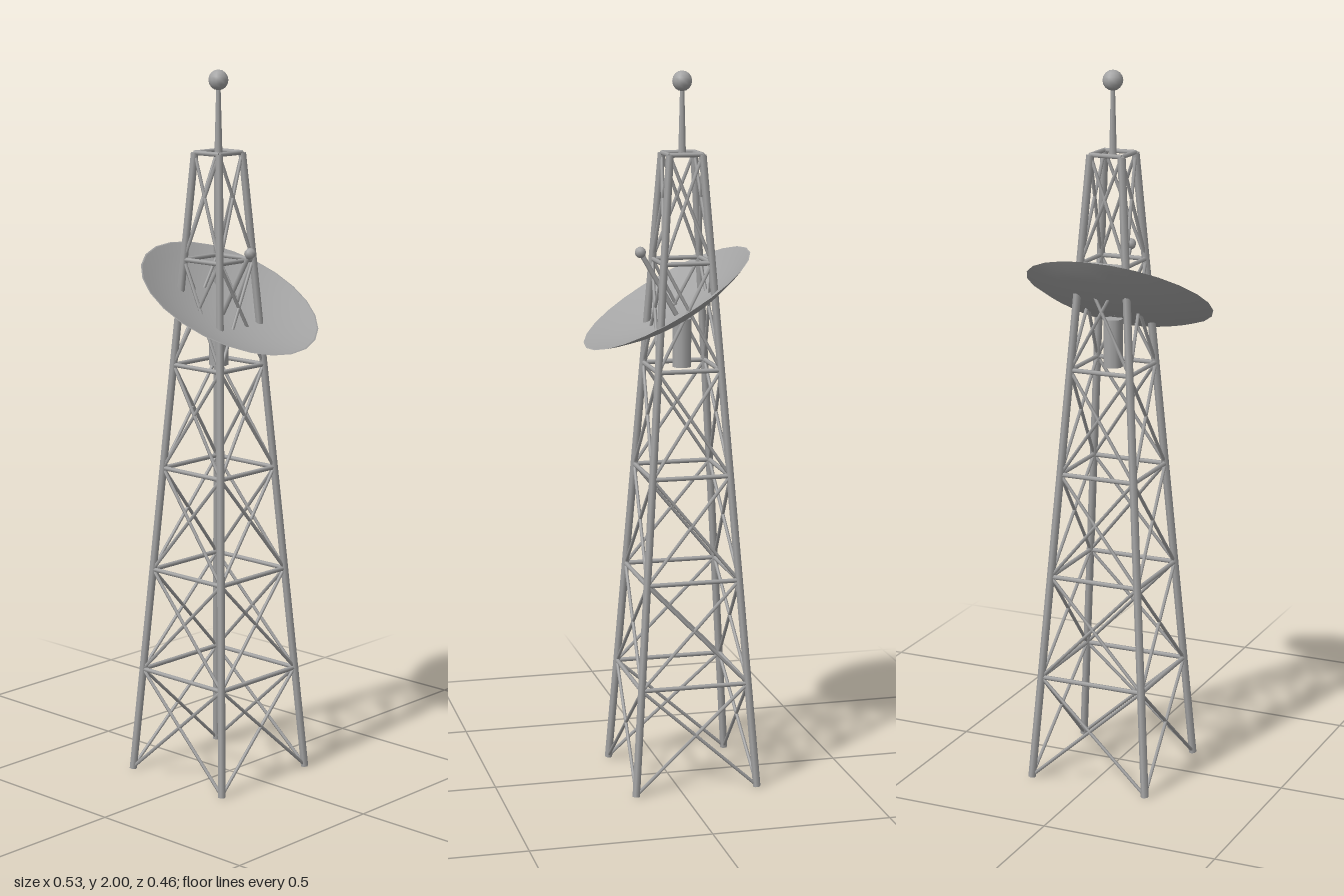
import * as THREE from 'three';

export function createModel() {
  const model = new THREE.Group();
  const steel = new THREE.MeshStandardMaterial({ color: 0xa4a4a4 });
  steel.name = 'steel grey';

  const CZ = -0.042; // depth of the tower axis
  const TOP = 1.775;
  const BASE = 0.003;

  const add = (name, geometry, parent = model) => {
    const mesh = new THREE.Mesh(geometry, steel);
    mesh.name = name;
    parent.add(mesh);
    return mesh;
  };

  // round bar between two points
  const bar = (name, a, b, r, parent, sides = 6, rEnd = r) => {
    const dir = b.clone().sub(a);
    const mesh = add(name, new THREE.CylinderGeometry(rEnd, r, dir.length(), sides), parent);
    mesh.position.copy(a).add(b).multiplyScalar(0.5);
    mesh.quaternion.setFromUnitVectors(new THREE.Vector3(0, 1, 0), dir.normalize());
    return mesh;
  };

  // corner of the tapering tower at a given height
  const signs = [[1, 1], [1, -1], [-1, -1], [-1, 1]];
  const corner = (i, y) => {
    const half = THREE.MathUtils.lerp(0.175, 0.046, (y - BASE) / (TOP - BASE));
    const [sx, sz] = signs[i % 4];
    return new THREE.Vector3(sx * half, y, CZ + sz * half);
  };

  // lattice tower: legs, level rails and crossed braces
  const tower = new THREE.Group();
  tower.name = 'latticeTower';
  model.add(tower);
  const levels = 6;
  const levelY = (n) => THREE.MathUtils.lerp(BASE + 0.004, TOP, n / levels);
  for (let side = 0; side < 4; side++) {
    bar('leg', corner(side, BASE), corner(side, TOP), 0.011, tower);
    for (let n = 0; n < levels; n++) {
      const y0 = levelY(n), y1 = levelY(n + 1);
      bar('brace', corner(side, y0), corner(side + 1, y1), 0.005, tower, 5);
      bar('brace', corner(side + 1, y0), corner(side, y1), 0.005, tower, 5);
      bar('rail', corner(side, y1), corner(side + 1, y1), 0.0065, tower);
    }
  }

  // mast with ball on the tower top
  bar('mast', new THREE.Vector3(0, TOP - 0.005, CZ), new THREE.Vector3(0, 1.955, CZ),
    0.011, model, 8, 0.006);
  add('mastBall', new THREE.SphereGeometry(0.028, 12, 8)).position.set(0, 1.972, CZ);

  // post carrying the dish
  bar('dishPost', new THREE.Vector3(0, 1.185, CZ), new THREE.Vector3(0, 1.32, CZ), 0.027, model, 10);

  // dish, tilted forward; its local origin is the rim centre
  const dish = new THREE.Group();
  dish.name = 'dish';
  dish.position.set(0, 1.38, 0.002);
  dish.rotation.x = Math.PI / 6;
  model.add(dish);
  const R = 0.263, DEPTH = 0.065, WALL = 0.008, STEPS = 8;
  const bowl = (radius, depth) => Array.from({ length: STEPS + 1 }, (_, i) => {
    const t = i / STEPS;
    return new THREE.Vector2(radius * t, depth * (t * t - 1));
  });
  const outer = bowl(R, DEPTH);
  const inner = bowl(R - 0.004, DEPTH - WALL).reverse();
  add('dishBack', new THREE.LatheGeometry(outer, 24), dish);
  add('dishRim', new THREE.LatheGeometry([outer[STEPS], inner[0]], 24), dish);
  add('dishFace', new THREE.LatheGeometry(inner, 24), dish);

  // receiver on a rod along the dish axis
  bar('feedRod', new THREE.Vector3(0, -DEPTH, 0), new THREE.Vector3(0, 0.145, 0), 0.007, dish);
  add('feedBall', new THREE.SphereGeometry(0.016, 8, 6), dish).position.y = 0.147;

  return model;
}
